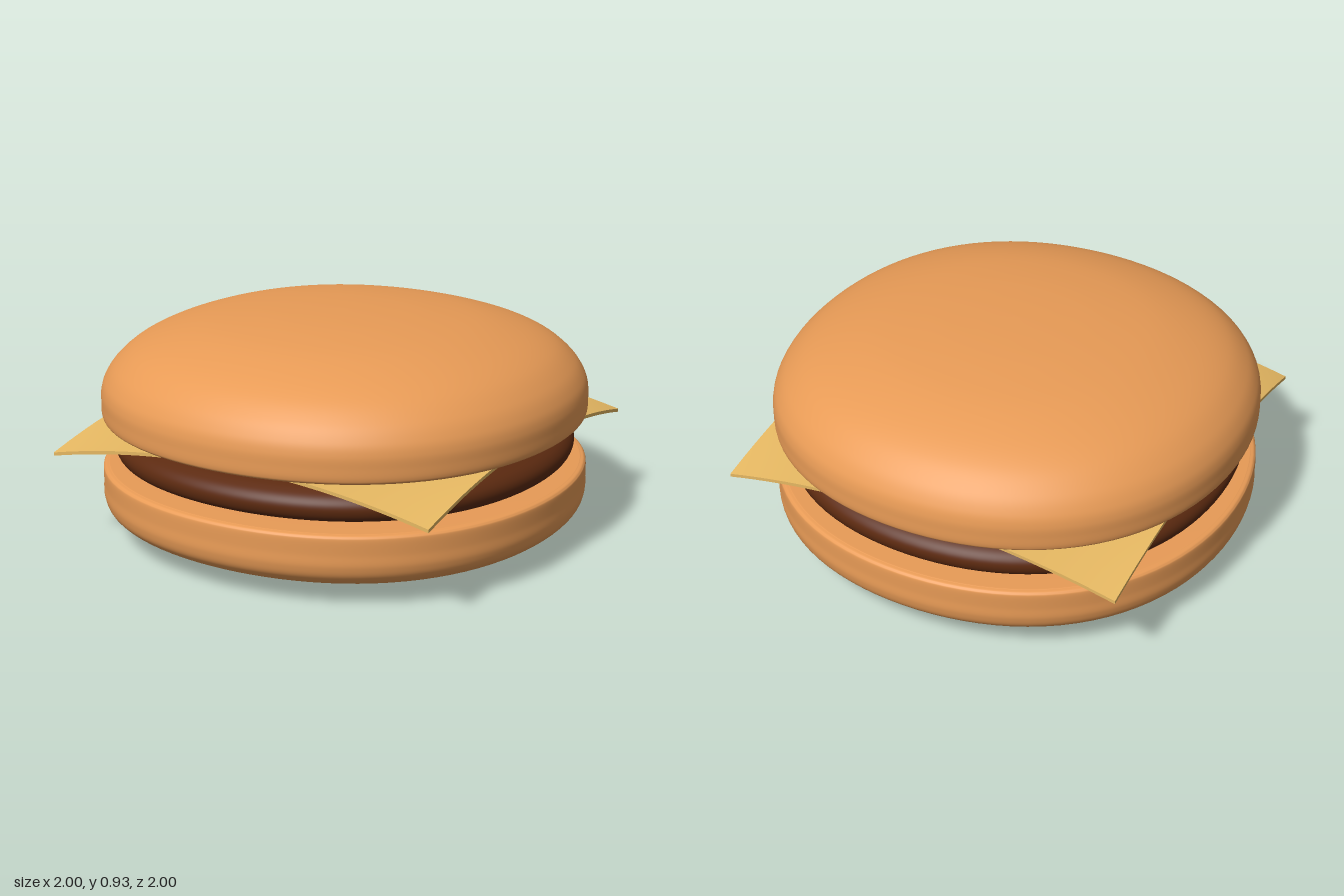
import * as THREE from 'three';
import { mergeVertices } from 'three/addons/utils/BufferGeometryUtils.js';

const bunColor = 0xe89b56, pattyColor = 0x5c2a10, cheeseColor = 0xe6b862;

function part(name, geometry, color) {
  const mesh = new THREE.Mesh(geometry, new THREE.MeshStandardMaterial({ color }));
  mesh.name = name;
  return mesh;
}

// Smooth disc turned from a [radius, height] profile listed bottom to top,
// with a slightly squared outline
function roundedDisc(name, profile, color) {
  const curve = new THREE.SplineCurve(profile.map(([r, y]) => new THREE.Vector2(r, y)));
  const points = curve.getPoints(profile.length * 7);
  points.forEach((p) => { p.x = Math.max(p.x, 0); });
  points[0].x = points[points.length - 1].x = 0;
  let geometry = new THREE.LatheGeometry(points, 96);
  const pos = geometry.attributes.position;
  for (let i = 0; i < pos.count; i++) {
    const x = pos.getX(i), z = pos.getZ(i);
    const swell = 1 + 0.0125 * (1 - Math.cos(4 * Math.atan2(z, x)));
    pos.setXYZ(i, x * swell, pos.getY(i), z * swell);
  }
  geometry.deleteAttribute('uv');
  geometry.deleteAttribute('normal');
  geometry = mergeVertices(geometry, 1e-5);
  geometry.computeVertexNormals();
  return part(name, geometry, color);
}

// Thin square slice whose four corners droop
function cheeseSlice() {
  const half = 0.872, thickness = 0.014;
  const geometry = new THREE.BoxGeometry(half * 2, thickness, half * 2, 32, 1, 32);
  const pos = geometry.attributes.position;
  const normal = geometry.attributes.normal;
  for (let i = 0; i < pos.count; i++) {
    const x = pos.getX(i), z = pos.getZ(i);
    const u = x / half, v = z / half;
    pos.setY(i, 0.495 + pos.getY(i) - 0.1 * u * u * v * v);
    // Tilt the normals of the broad faces to follow the droop
    const side = normal.getY(i);
    if (Math.abs(side) > 0.5) {
      const n = new THREE.Vector3(0.2 * u * v * v / half, 1, 0.2 * u * u * v / half);
      n.normalize().multiplyScalar(Math.sign(side));
      normal.setXYZ(i, n.x, n.y, n.z);
    }
  }
  return part('cheeseSlice', geometry, cheeseColor);
}

export function createModel() {
  const model = new THREE.Group();
  model.name = 'burger';

  model.add(roundedDisc('bottomBun', [
    [0, 0.005], [0.3, 0.009], [0.6, 0.024], [0.8, 0.048], [0.92, 0.084],
    [0.98, 0.125], [1, 0.175], [1, 0.23], [1, 0.285], [0.995, 0.3],
    [0.98, 0.307], [0.93, 0.309], [0.6, 0.31], [0, 0.31],
  ], bunColor));

  model.add(roundedDisc('patty', [
    [0, 0.312], [0.5, 0.313], [0.78, 0.316], [0.88, 0.325], [0.93, 0.345],
    [0.948, 0.38], [0.94, 0.415], [0.905, 0.443], [0.83, 0.465],
    [0.65, 0.482], [0.4, 0.487], [0, 0.488],
  ], pattyColor));

  model.add(cheeseSlice());

  model.add(roundedDisc('topBun', [
    [0, 0.497], [0.5, 0.498], [0.88, 0.5], [0.96, 0.504], [0.99, 0.512],
    [0.999, 0.53], [1, 0.57], [0.998, 0.62], [0.982, 0.67], [0.94, 0.73],
    [0.86, 0.795], [0.74, 0.848], [0.57, 0.893], [0.36, 0.92], [0.17, 0.931], [0, 0.934],
  ], bunColor));

  return model;
}
